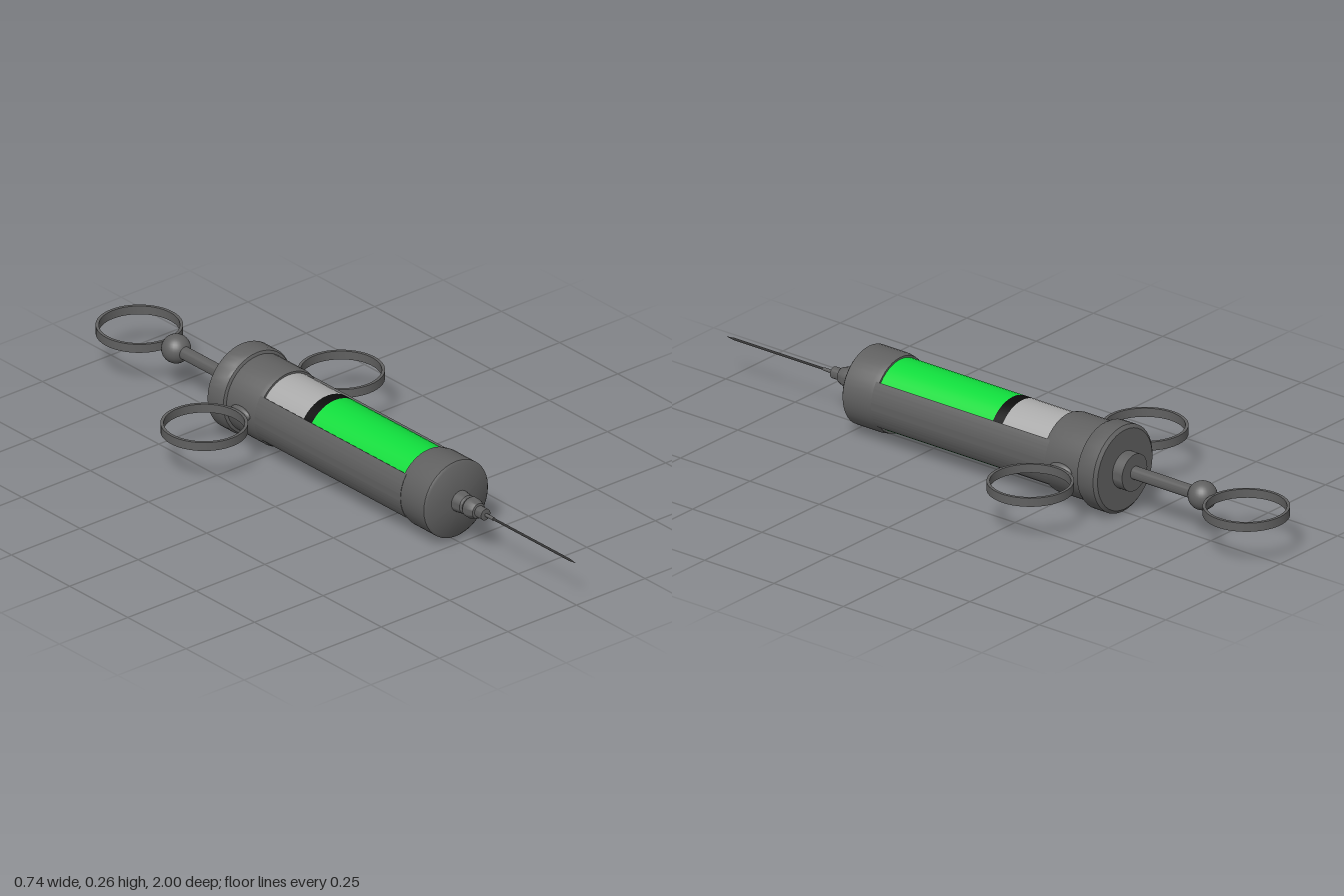
import * as THREE from 'three';
import { toCreasedNormals } from 'three/addons/utils/BufferGeometryUtils.js';

const AXIS = 0.131; // height of the barrel axis
const metal = new THREE.MeshStandardMaterial({ color: 0x606060 });
const glass = new THREE.MeshStandardMaterial({ color: 0xaaaaaa });
const green = new THREE.MeshStandardMaterial({ color: 0x10dc3c });
const black = new THREE.MeshStandardMaterial({ color: 0x0c0c0c });

export function createModel() {
  const model = new THREE.Group();
  model.name = 'syringe';
  const body = new THREE.Group();
  body.name = 'syringeBody';
  body.position.y = AXIS;
  model.add(body);

  const add = (name, geometry, material = metal) => {
    const mesh = new THREE.Mesh(geometry, material);
    mesh.name = name;
    body.add(mesh);
    return mesh;
  };

  // Turned part along z; profile is [radius, z] pairs with z increasing
  const turned = (name, profile, material = metal, sides = 40) => {
    const points = profile.map(([r, z]) => new THREE.Vector2(r, z));
    const geometry = new THREE.LatheGeometry(points, sides).rotateX(Math.PI / 2);
    return add(name, toCreasedNormals(geometry, 0.6), material);
  };

  // Flat band ring lying in the xz plane
  const bandRing = (name, x, z) => {
    const points = [[0.113, -0.013], [0.122, -0.013], [0.122, 0.013], [0.113, 0.013], [0.113, -0.013]]
      .map(([r, y]) => new THREE.Vector2(r, y));
    const ring = add(name, toCreasedNormals(new THREE.LatheGeometry(points, 48), 0.6));
    ring.position.set(x, 0, z);
  };

  // Barrel ends
  turned('frontCap', [[0, 0.37], [0.113, 0.37], [0.117, 0.39], [0.117, 0.482], [0.11, 0.488], [0.03, 0.5], [0, 0.5]]);
  turned('rearSleeve', [[0, -0.4], [0.117, -0.4], [0.117, -0.25], [0.113, -0.235], [0, -0.235]]);
  turned('rearFlange', [[0, -0.44], [0.12, -0.44], [0.13, -0.432], [0.13, -0.38], [0.125, -0.37], [0.115, -0.365], [0, -0.365]]);
  turned('plungerGuide', [[0, -0.475], [0.055, -0.475], [0.055, -0.435], [0, -0.435]]);

  // Side rails framing the upper and lower windows
  const half = THREE.MathUtils.degToRad(36);
  for (const side of [1, -1]) {
    const label = side > 0 ? 'left' : 'right';
    const mid = side > 0 ? 0 : Math.PI;
    const sector = new THREE.Shape();
    sector.absarc(0, 0, 0.116, mid - half, mid + half, false);
    sector.absarc(0, 0, 0.1, mid + half, mid - half, true);
    sector.closePath();
    const rail = new THREE.ExtrudeGeometry(sector, { depth: 0.63, bevelEnabled: false, curveSegments: 16 });
    add(label + 'Rail', toCreasedNormals(rail.translate(0, 0, -0.25), 0.6));

    // Finger ring and the boss that holds it
    bandRing(label + 'FingerRing', side * 0.25, -0.305);
    const boss = add(label + 'RingBoss', new THREE.SphereGeometry(1, 20, 12));
    boss.scale.set(0.014, 0.02, 0.04);
    boss.position.set(side * 0.117, 0, -0.305);
  }

  // Contents seen through the windows
  const filling = (name, from, to, material) =>
    turned(name, [[0, from], [0.107, from], [0.107, to], [0, to]], material);
  filling('emptyChamber', -0.25, -0.07, glass);
  filling('plungerSeal', -0.07, -0.035, black);
  filling('liquid', -0.035, 0.38, green);

  // Needle with its hub
  turned('needleHub', [[0, 0.49], [0.033, 0.49], [0.028, 0.53], [0.022, 0.535], [0.03, 0.545], [0.03, 0.56],
    [0.023, 0.58], [0.017, 0.582], [0.017, 0.61], [0.005, 0.612], [0.005, 0.645], [0, 0.645]], metal, 24);
  turned('needle', [[0, 0.6], [0.0035, 0.6], [0.0035, 0.97], [0, 1]], metal, 10);

  // Plunger rod, ball and thumb ring
  turned('plungerRod', [[0, -0.71], [0.019, -0.71], [0.019, -0.46], [0, -0.46]], metal, 24);
  add('plungerBall', new THREE.SphereGeometry(0.042, 28, 18)).position.z = -0.72;
  bandRing('thumbRing', 0, -0.878);

  return model;
}
